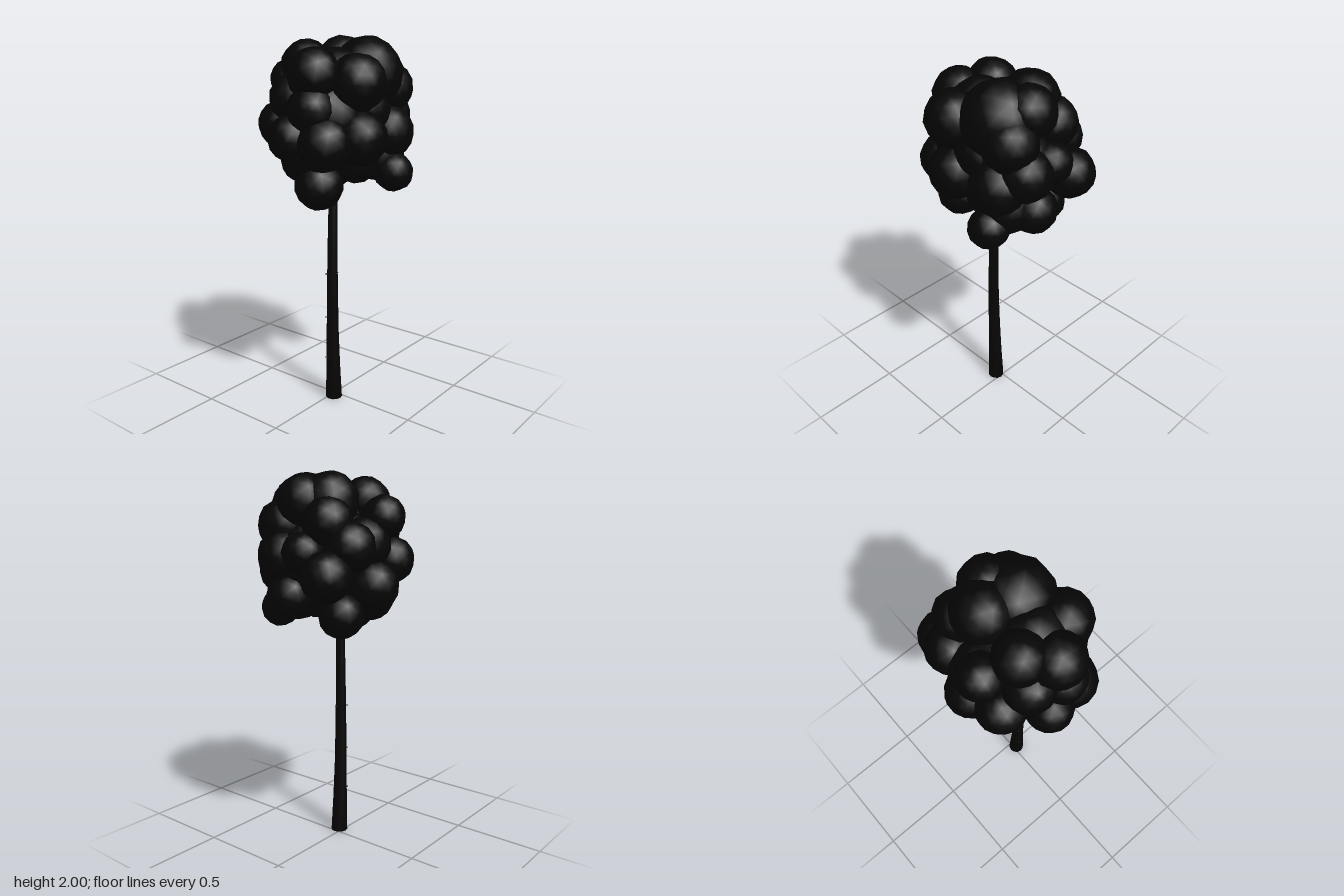
import * as THREE from 'three';
import { mergeVertices } from 'three/addons/utils/BufferGeometryUtils.js';

const bark = new THREE.MeshStandardMaterial({ color: 0x070605 });
const leaf = new THREE.MeshStandardMaterial({ color: 0x050505 });

// Leaf clumps: x, y, z, radius
const bottomClumps = [
  [-0.23, 1.265, 0.08, 0.125], [0.15, 1.285, -0.14, 0.12], [0.17, 1.30, 0.26, 0.105],
  [-0.08, 1.36, -0.15, 0.125], [0.29, 1.38, 0.08, 0.12], [0.04, 1.38, 0.10, 0.14],
  [-0.22, 1.42, 0.02, 0.14], [0.18, 1.39, 0.14, 0.15], [0.0, 1.41, -0.03, 0.16],
];
const middleClumps = [
  [0.30, 1.49, -0.165, 0.13], [0.28, 1.58, 0.13, 0.135], [0.18, 1.51, 0.205, 0.145],
  [-0.09, 1.50, 0.23, 0.14], [-0.26, 1.48, 0.14, 0.14], [-0.31, 1.50, -0.03, 0.12],
  [-0.18, 1.55, -0.21, 0.125], [0.01, 1.43, -0.235, 0.135], [0.17, 1.63, -0.21, 0.13],
  [0.30, 1.60, -0.02, 0.11], [-0.27, 1.64, 0.07, 0.125], [0.03, 1.63, 0.16, 0.14],
  [0.02, 1.64, -0.18, 0.14],
];
const topClumps = [
  [0.13, 1.85, -0.05, 0.15], [0.22, 1.85, 0.05, 0.135], [0.11, 1.80, 0.12, 0.195],
  [-0.14, 1.85, -0.07, 0.13], [-0.24, 1.81, 0.06, 0.135], [-0.10, 1.77, 0.22, 0.145],
  [-0.07, 1.77, -0.235, 0.115], [0.22, 1.73, 0.17, 0.14], [0.22, 1.75, -0.11, 0.13],
  [-0.22, 1.69, -0.08, 0.13], [-0.08, 1.76, 0.06, 0.18],
];
const innerClumps = [[0.02, 1.59, 0, 0.24], [-0.13, 1.60, 0.05, 0.21], [0.14, 1.56, 0.06, 0.22]];

// Closed round limb through [x, y, z, radius] stations
function limb(stations, sides) {
  const pos = [], index = [];
  stations.forEach(([x, y, z, r]) => {
    for (let i = 0; i < sides; i++) {
      const a = (i / sides) * Math.PI * 2;
      pos.push(x + r * Math.cos(a), y, z + r * Math.sin(a));
    }
  });
  for (let j = 0; j < stations.length - 1; j++) {
    for (let i = 0; i < sides; i++) {
      const a = j * sides + i, b = j * sides + (i + 1) % sides;
      index.push(a, a + sides, b, b, a + sides, b + sides);
    }
  }
  const last = (stations.length - 1) * sides;
  for (let i = 1; i < sides - 1; i++) {
    index.push(0, i, i + 1, last, last + i + 1, last + i);
  }
  const geo = new THREE.BufferGeometry();
  geo.setAttribute('position', new THREE.Float32BufferAttribute(pos, 3));
  geo.setIndex(index);
  geo.computeVertexNormals();
  return geo;
}

// Slightly uneven low-poly ball
function clumpGeometry(r, seed) {
  let geo = new THREE.IcosahedronGeometry(r, 2);
  geo.deleteAttribute('uv');
  geo.deleteAttribute('normal');
  geo = mergeVertices(geo, 1e-4);
  const p = geo.attributes.position;
  const v = new THREE.Vector3();
  for (let i = 0; i < p.count; i++) {
    v.fromBufferAttribute(p, i);
    const k = 1 + 0.03 * Math.sin(v.x / r * 5 + seed) * Math.cos(v.y / r * 4 + v.z / r * 5 + seed * 2);
    v.multiplyScalar(k);
    p.setXYZ(i, v.x, v.y, v.z);
  }
  geo.computeVertexNormals();
  return geo;
}

function addMesh(parent, name, geo, mat) {
  const m = new THREE.Mesh(geo, mat);
  m.name = name;
  parent.add(m);
  return m;
}

export function createModel() {
  const tree = new THREE.Group();
  tree.name = 'tree';

  // Trunk: flared foot, gentle lean
  addMesh(tree, 'trunk', limb([
    [-0.035, 0, 0.021, 0.046], [-0.041, 0.2, 0.021, 0.039], [-0.046, 0.4, 0.021, 0.034],
    [-0.049, 0.6, 0.022, 0.031], [-0.049, 0.75, 0.022, 0.029], [-0.046, 0.98, 0.021, 0.026],
    [-0.038, 1.2, 0.018, 0.023], [-0.02, 1.45, 0.012, 0.02], [0.01, 1.8, 0.01, 0.015],
  ], 12), bark);

  // Twig stubs: height, angle, trunk centre x, trunk radius
  [[0.25, 3.6, -0.042, 0.038], [0.49, 3.7, -0.047, 0.033], [0.74, 0.3, -0.049, 0.029],
    [0.74, 3.9, -0.049, 0.029], [0.98, 2.7, -0.046, 0.026]].forEach(([y, a, cx, r]) => {
    const stub = addMesh(tree, 'twigStub', new THREE.CylinderGeometry(0.003, 0.005, 0.02, 6), bark);
    const dir = new THREE.Vector3(Math.cos(a), 0, Math.sin(a));
    stub.quaternion.setFromUnitVectors(new THREE.Vector3(0, 1, 0), dir);
    stub.position.set(cx, y, 0.02).addScaledVector(dir, r);
  });

  // Crown
  const crown = new THREE.Group();
  crown.name = 'crown';
  tree.add(crown);
  Object.entries({ bottomClumps, middleClumps, topClumps, innerClumps }).forEach(([name, list]) => {
    const layer = new THREE.Group();
    layer.name = name;
    crown.add(layer);
    list.forEach(([x, y, z, r], i) => {
      const ball = addMesh(layer, 'leafClump', clumpGeometry(r, i * 1.7), leaf);
      ball.position.set(x, y, z);
      ball.rotation.set(i * 0.9, i * 1.3, i * 0.5);
    });
  });

  return tree;
}
